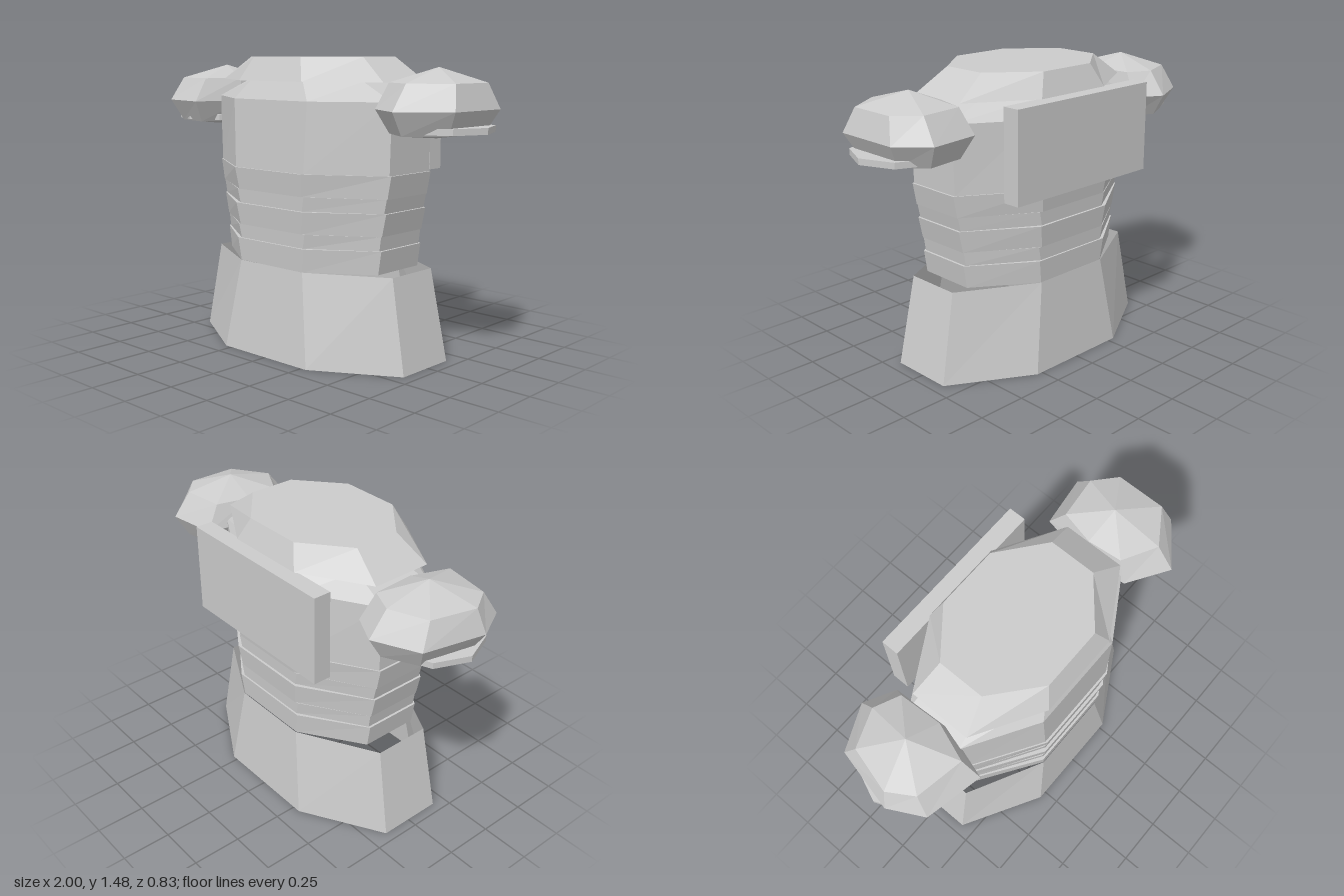
import * as THREE from 'three';

const grey = new THREE.MeshStandardMaterial({ color: 0xcccccc, flatShading: true });
const greyOpen = new THREE.MeshStandardMaterial({ color: 0xcccccc, flatShading: true, side: THREE.DoubleSide });

// Stretched octagon: half width, front and back depth, corner positions
function octagon(y, w, front, back, cx, cf = 0.16, cb = 0.14) {
  return [[w, -cb], [w, cf], [cx, front], [-cx, front], [-w, cf], [-w, -cb], [-cx, -back], [cx, -back]]
    .map(([x, z]) => new THREE.Vector3(x - 0.005, y, z));
}

// Faceted skin over rings listed from bottom to top, with optional end caps
// that meet in the given centre points
function loft(name, rings, { bottom, top, material = grey } = {}) {
  const pos = [];
  const tri = (...pts) => pts.forEach((p) => pos.push(p.x, p.y, p.z));
  const n = rings[0].length;
  for (let i = 0; i < n; i++) {
    const j = (i + 1) % n;
    for (let r = 0; r + 1 < rings.length; r++) {
      const lo = rings[r], hi = rings[r + 1];
      tri(lo[i], hi[i], lo[j]);
      tri(lo[j], hi[i], hi[j]);
    }
    if (bottom) tri(bottom, rings[0][i], rings[0][j]);
    const last = rings[rings.length - 1];
    if (top) tri(top, last[j], last[i]);
  }
  const geo = new THREE.BufferGeometry();
  geo.setAttribute('position', new THREE.Float32BufferAttribute(pos, 3));
  geo.computeVertexNormals();
  const mesh = new THREE.Mesh(geo, material);
  mesh.name = name;
  return mesh;
}

const at = (x, y, z) => new THREE.Vector3(x, y, z);

// Domed shoulder pad: one seven-sided outline scaled up and down
function shoulderPad(name, outline, cx, ringX) {
  const group = new THREE.Group();
  group.name = name;
  const ring = (y, sx, sz) => outline.map(([x, z]) => at(cx + (x - cx) * sx, y, z * sz));
  group.add(loft('padShell', [ring(1.13, 0.74, 0.8), ring(1.24, 1, 1), ring(1.36, 0.84, 0.72)],
    { bottom: at(cx, 1.105, 0), top: at(cx, 1.43, -0.01) }));
  // flat collar showing under the pad
  const collar = new THREE.Mesh(new THREE.CylinderGeometry(0.235, 0.235, 0.03, 8), grey);
  collar.name = 'armCollar';
  collar.position.set(ringX, 1.152, 0);
  collar.rotation.y = Math.PI / 2;
  group.add(collar);
  return group;
}

export function createModel() {
  const model = new THREE.Group();
  model.name = 'armouredTorso';

  // Open flared skirt
  model.add(loft('skirt', [
    octagon(0, 0.693, 0.415, 0.39, 0.285, 0.18, 0.155),
    octagon(0.455, 0.605, 0.365, 0.345, 0.215, 0.16, 0.135),
  ], { material: greyOpen }));

  // Ribbed waist, each band flaring upward: y0, y1, width0, width1, front0, front1
  const bands = [
    [0.455, 0.57, 0.517, 0.535, 0.363, 0.371],
    [0.57, 0.64, 0.523, 0.533, 0.36, 0.364],
    [0.64, 0.75, 0.538, 0.562, 0.367, 0.38],
    [0.75, 0.82, 0.55, 0.565, 0.366, 0.37],
    [0.82, 0.93, 0.569, 0.59, 0.373, 0.387],
  ];
  const rings = [];
  for (const [y0, y1, w0, w1, f0, f1] of bands) {
    rings.push(octagon(y0, w0, f0, f0 - 0.022, 0.215), octagon(y1, w1, f1, f1 - 0.024, 0.23));
  }
  // Chest with bevelled shoulders
  rings.push(
    octagon(0.93, 0.58, 0.376, 0.35, 0.235),
    octagon(1.27, 0.59, 0.366, 0.337, 0.25),
    octagon(1.36, 0.39, 0.32, 0.295, 0.18, 0.13, 0.12),
  );
  model.add(loft('chest', rings, { bottom: at(0, 0.455, 0), top: at(0, 1.36, 0) }));

  // Neck plate
  model.add(loft('neckPlate', [
    octagon(1.36, 0.545, 0.366, 0.34, 0.215, 0.17, 0.145),
    octagon(1.475, 0.385, 0.315, 0.295, 0.16, 0.125, 0.115),
  ], { bottom: at(0, 1.36, 0), top: at(0, 1.475, 0) }));

  // Back plate
  const back = new THREE.Mesh(new THREE.BoxGeometry(0.895, 0.45, 0.09), grey);
  back.name = 'backPlate';
  back.position.set(-0.008, 1.135, -0.372);
  model.add(back);

  // Shoulder pads, each with its own irregular outline
  model.add(shoulderPad('leftShoulderPad', [[0.82, -0.305], [0.95, -0.17], [0.95, 0.18],
    [0.735, 0.345], [0.53, 0.215], [0.51, -0.03], [0.56, -0.27]], 0.72, 0.763));
  model.add(shoulderPad('rightShoulderPad', [[-0.71, -0.33], [-0.56, -0.25], [-0.545, 0.05],
    [-0.625, 0.31], [-0.91, 0.25], [-1, 0.08], [-0.93, -0.23]], -0.735, -0.768));

  return model;
}
